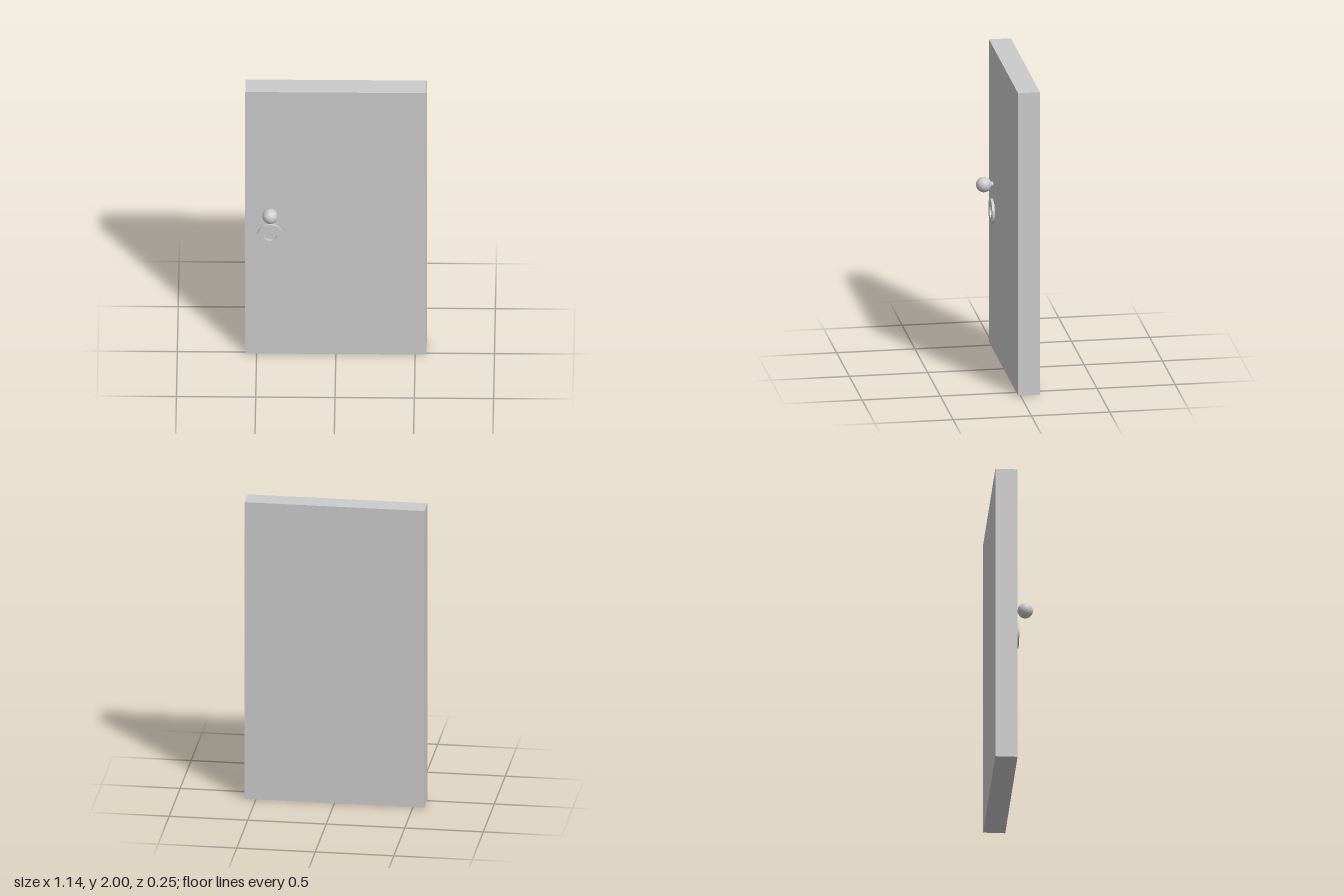
import * as THREE from 'three';

const FRONT = 0.015;   // z of the door's front face
const BACK = -0.125;
const HANDLE_X = -0.414;

export function createModel() {
  const door = new THREE.Group();
  door.name = 'door';
  const material = new THREE.MeshStandardMaterial({ color: 0xcccccc });

  const add = (name, geometry, x, y, z) => {
    const mesh = new THREE.Mesh(geometry, material);
    mesh.name = name;
    mesh.position.set(x, y, z);
    door.add(mesh);
  };

  // Plain slab
  add('doorPanel', new THREE.BoxGeometry(1.143, 2, FRONT - BACK), 0, 1, (FRONT + BACK) / 2);

  // Round knob on a short stem
  const knobY = 1.092, knobZ = 0.074, knobRadius = 0.049;
  add('knob', new THREE.SphereGeometry(knobRadius, 32, 24), HANDLE_X, knobY, knobZ);
  const stem = new THREE.CylinderGeometry(0.016, 0.016, knobZ - FRONT, 24).rotateX(Math.PI / 2);
  add('knobStem', stem, HANDLE_X, knobY, (FRONT + knobZ) / 2);

  // Flat lock ring, open in the middle
  const ring = new THREE.Shape().absarc(0, 0, 0.08, 0, Math.PI * 2, false);
  ring.holes.push(new THREE.Path().absarc(0, 0, 0.04, 0, Math.PI * 2, true));
  const ringGeometry = new THREE.ExtrudeGeometry(ring, { depth: 0.017, bevelEnabled: false, curveSegments: 48 });
  add('lockRing', ringGeometry, HANDLE_X, 0.914, FRONT);

  return door;
}
